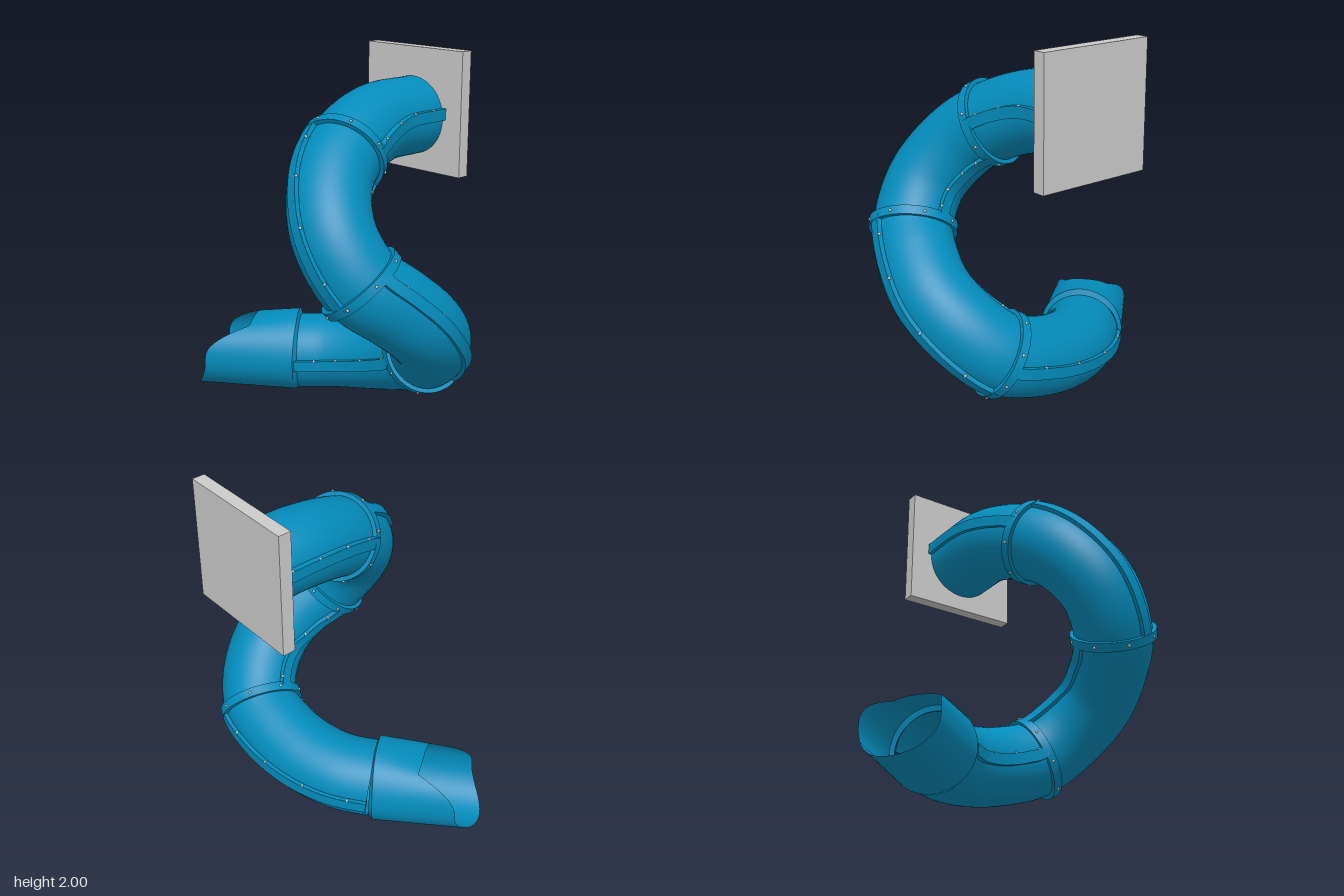
import * as THREE from 'three';
import { toCreasedNormals } from 'three/addons/utils/BufferGeometryUtils.js';
import { ParametricGeometry } from 'three/addons/geometries/ParametricGeometry.js';

const R = 0.215; // tube radius
const V = (x, y, z) => new THREE.Vector3(x, y, z);
const Y = V(0, 1, 0);

// Centre line, from the wall down to the exit
const points = [
  [0.54, 1.625, 0.07], [0.22, 1.615, 0.078], [-0.09, 1.51, 0.152],
  [-0.27, 1.375, 0.238], [-0.372, 1.17, 0.375], [-0.32, 0.95, 0.51],
  [-0.17, 0.82, 0.59], [0, 0.68, 0.62], [0.175, 0.525, 0.55], [0.285, 0.39, 0.41],
  [0.303, 0.32, 0.22], [0.273, 0.268, 0], [0.197, 0.24, -0.2], [0.08, 0.227, -0.36],
].map((p) => V(...p));
const path = new THREE.CatmullRomCurve3(points);
const joints = [0, 2, 5, 9, 13].map((i) => i / (points.length - 1));

const exitStart = points[points.length - 1];
const exitDir = V(-0.64, 0, -0.77).normalize();

// Centre, tangent, side and up at a point; the side lies square to the given normal
function frameFrom(p, t, normal = Y) {
  const side = t.clone().cross(normal).normalize();
  return { p, t, side, up: side.clone().cross(t).normalize() };
}
const frameAt = (k, normal) => frameFrom(path.getPoint(k), path.getTangent(k), normal);

const place = (f, s, u, target = V()) =>
  target.copy(f.p).addScaledVector(f.side, s).addScaledVector(f.up, u);

const signedPow = (x, e) => Math.sign(x) * Math.abs(x) ** e;

export function createModel() {
  const group = new THREE.Group();
  const blue = new THREE.MeshStandardMaterial({ color: 0x048cbc, side: THREE.DoubleSide });
  const grey = new THREE.MeshStandardMaterial({ color: 0xcccccc });

  const add = (name, geometry, material) => {
    const mesh = new THREE.Mesh(geometry, material);
    mesh.name = name;
    group.add(mesh);
    return mesh;
  };

  const boltGeometry = new THREE.SphereGeometry(0.008, 8, 6);
  const addBolt = (pos) => add('bolt', boltGeometry, grey).position.copy(pos);

  // Wall plate
  add('wallPlate', new THREE.BoxGeometry(0.07, 0.68, 0.68), grey).position.set(0.575, 1.66, 0.07);

  // Four tube sections, each with two lengthwise flanges and their bolts
  const flangeHeights = [0.03, 0.005, 0.01, -0.01];
  for (let i = 0; i < 4; i++) {
    const a = joints[i], b = joints[i + 1];
    add('tubeSection', new ParametricGeometry((u, v, target) => {
      const w = v * Math.PI * 2;
      place(frameAt(a + (b - a) * u), R * Math.cos(w), R * Math.sin(w), target);
    }, 28, 48), blue);

    // Flanges are level on the end sections, and follow the bend on the middle ones
    const level = i === 0 || i === 3;
    const normal = level ? Y : path.getTangent(a).cross(path.getTangent(b)).normalize();
    if (normal.y < 0) normal.negate();
    const low = flangeHeights[i] - 0.031, high = flangeHeights[i] + 0.031;
    for (const m of [1, -1]) {
      const profile = [[0.2, low], [0.236, low], [0.236, high], [0.2, high], [0.2, low]];
      if (m < 0) profile.reverse();
      add('sideFlange', toCreasedNormals(new ParametricGeometry((u, v, target) => {
        const [s, h] = profile[Math.round(v * 4)];
        place(frameAt(a + (b - a) * u, normal), m * s, h, target);
      }, 28, 4), 0.6), blue);
      for (const k of [0.14, 0.38, 0.62, 0.86]) {
        addBolt(place(frameAt(a + (b - a) * k, normal), m * 0.229, high));
      }
    }
  }

  // Collars where the sections meet
  const collarProfile = [[0.2, -0.025], [0.238, -0.025], [0.238, 0.025], [0.2, 0.025]];
  const collarGeometry = toCreasedNormals(new THREE.LatheGeometry(
    collarProfile.map(([x, y]) => new THREE.Vector2(x, y)), 48), 0.6);
  for (const k of joints.slice(1, 4)) {
    const f = frameAt(k);
    const collar = add('collar', collarGeometry, blue);
    collar.position.copy(f.p);
    collar.quaternion.setFromUnitVectors(Y, f.t);
    for (let j = 0; j < 8; j++) {
      const w = (j + 0.5) * Math.PI / 4;
      addBolt(place(f, 0.238 * Math.cos(w), 0.238 * Math.sin(w)));
    }
  }

  // Exit hood: steps out from the tube, then runs straight with a squarer, cut-back roof
  const exitFrame = frameFrom(exitStart, exitDir);
  const hood = new ParametricGeometry((u, v, target) => {
    const w = v * Math.PI * 2, c = Math.cos(w), s = Math.sin(w);
    const e = s > 0 ? 1 - 0.25 * u : 1;
    const cut = s > 0
      ? -0.23 * Math.min(1, (1 - Math.abs(c) ** 0.75) / 0.43)
      : 0.1 * s * s;
    const along = u * (0.5 - 0.03 * c + cut);
    const step = Math.min(1, u * 24);
    const width = THREE.MathUtils.lerp(R, 0.236 - 0.042 * along, step);
    const height = THREE.MathUtils.lerp(R, s > 0 ? 0.25 - 0.15 * along : 0.226 - 0.03 * along, step);
    place(exitFrame, width * signedPow(c, e), height * signedPow(s, e), target)
      .addScaledVector(exitDir, along);
  }, 24, 64);
  add('exitHood', toCreasedNormals(hood, 0.7), blue);

  return group;
}
